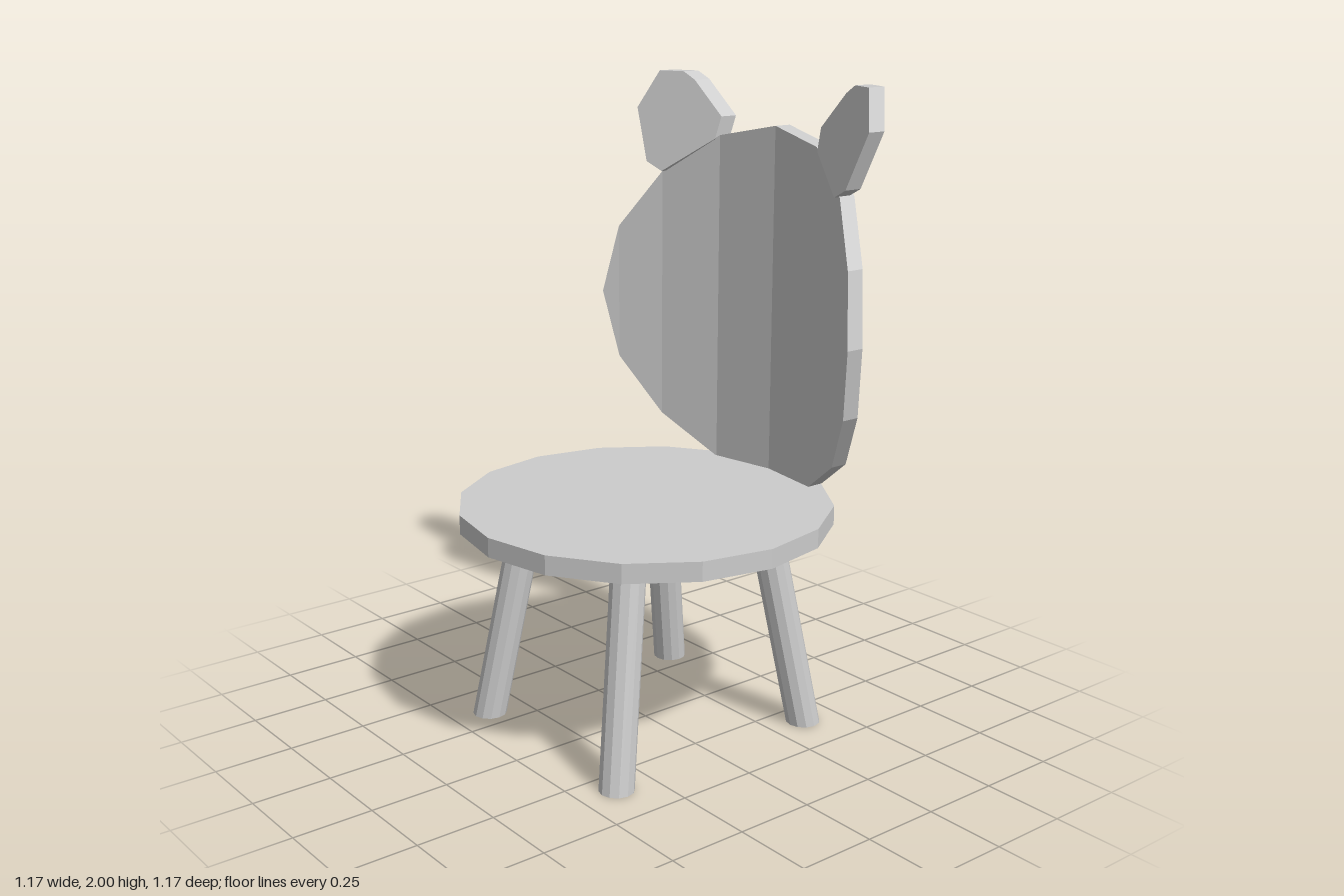
import * as THREE from 'three';

const SIDES = 16;
const R = 0.583;

function makeMesh(name, geometry) {
  const material = new THREE.MeshStandardMaterial({ color: 0xcccccc, flatShading: true });
  const mesh = new THREE.Mesh(geometry, material);
  mesh.name = name;
  return mesh;
}

// Round panel bent around the sitter, faceted in vertical strips
function curvedPanel(radius, centerY, frontZ, thickness) {
  const pos = [];
  const quad = (a, b, c, d) => pos.push(...a, ...b, ...c, ...a, ...c, ...d);
  const column = (i) => {
    const angle = (i / SIDES) * Math.PI * 2;
    const x = -radius * Math.cos(angle);
    const h = radius * Math.sin(angle);
    const z = frontZ + 0.71 * x * x;
    return {
      frontTop: [x, centerY + h, z],
      frontLow: [x, centerY - h, z],
      backTop: [x, centerY + h, z - thickness],
      backLow: [x, centerY - h, z - thickness],
    };
  };
  for (let i = 0; i < SIDES / 2; i++) {
    const a = column(i), b = column(i + 1);
    quad(a.frontLow, b.frontLow, b.frontTop, a.frontTop);
    quad(b.backLow, a.backLow, a.backTop, b.backTop);
    quad(a.frontTop, b.frontTop, b.backTop, a.backTop);
    quad(a.backLow, b.backLow, b.frontLow, a.frontLow);
  }
  const geometry = new THREE.BufferGeometry();
  geometry.setAttribute('position', new THREE.Float32BufferAttribute(pos, 3));
  geometry.computeVertexNormals();
  return geometry;
}

// Ear slab, slanted to follow the bend of the backrest and lean backwards
function earGeometry(side) {
  const outline = [
    [0.235, 1.795], [0.40, 1.682], [0.46, 1.71], [0.53, 1.88],
    [0.475, 2.0], [0.39, 2.0], [0.345, 1.975], [0.228, 1.865],
  ].map(([x, y]) => new THREE.Vector2(side * x, y));
  const geometry = new THREE.ExtrudeGeometry(new THREE.Shape(outline), {
    depth: 0.062, bevelEnabled: false,
  });
  const p = geometry.attributes.position;
  for (let i = 0; i < p.count; i++) {
    const slant = 0.36 * (Math.abs(p.getX(i)) - 0.4) - 0.25 * (p.getY(i) - 1.85);
    p.setZ(i, p.getZ(i) - 0.488 + slant);
  }
  geometry.computeVertexNormals();
  return geometry;
}

// Splayed leg with level ends
function legGeometry(sx, sz) {
  const height = 0.69;
  const geometry = new THREE.CylinderGeometry(0.054, 0.054, height, 12);
  geometry.translate(0, height / 2, 0);
  const p = geometry.attributes.position;
  for (let i = 0; i < p.count; i++) {
    const y = p.getY(i);
    p.setX(i, p.getX(i) + sx * (0.337 - 0.118 * y));
    p.setZ(i, p.getZ(i) + sz * (0.375 - 0.163 * y));
  }
  geometry.computeVertexNormals();
  return geometry;
}

export function createModel() {
  const group = new THREE.Group();
  group.name = 'chair';

  const seat = makeMesh('seat', new THREE.CylinderGeometry(R, R, 0.06, SIDES));
  seat.position.y = 0.705;
  group.add(seat);

  group.add(makeMesh('backrest', curvedPanel(0.581, 1.27, -0.517, 0.06)));

  for (const [side, label] of [[1, 'left'], [-1, 'right']]) {
    group.add(makeMesh(label + 'Ear', earGeometry(side)));
    group.add(makeMesh(label + 'FrontLeg', legGeometry(side, 1)));
    group.add(makeMesh(label + 'BackLeg', legGeometry(side, -1)));
  }
  return group;
}
